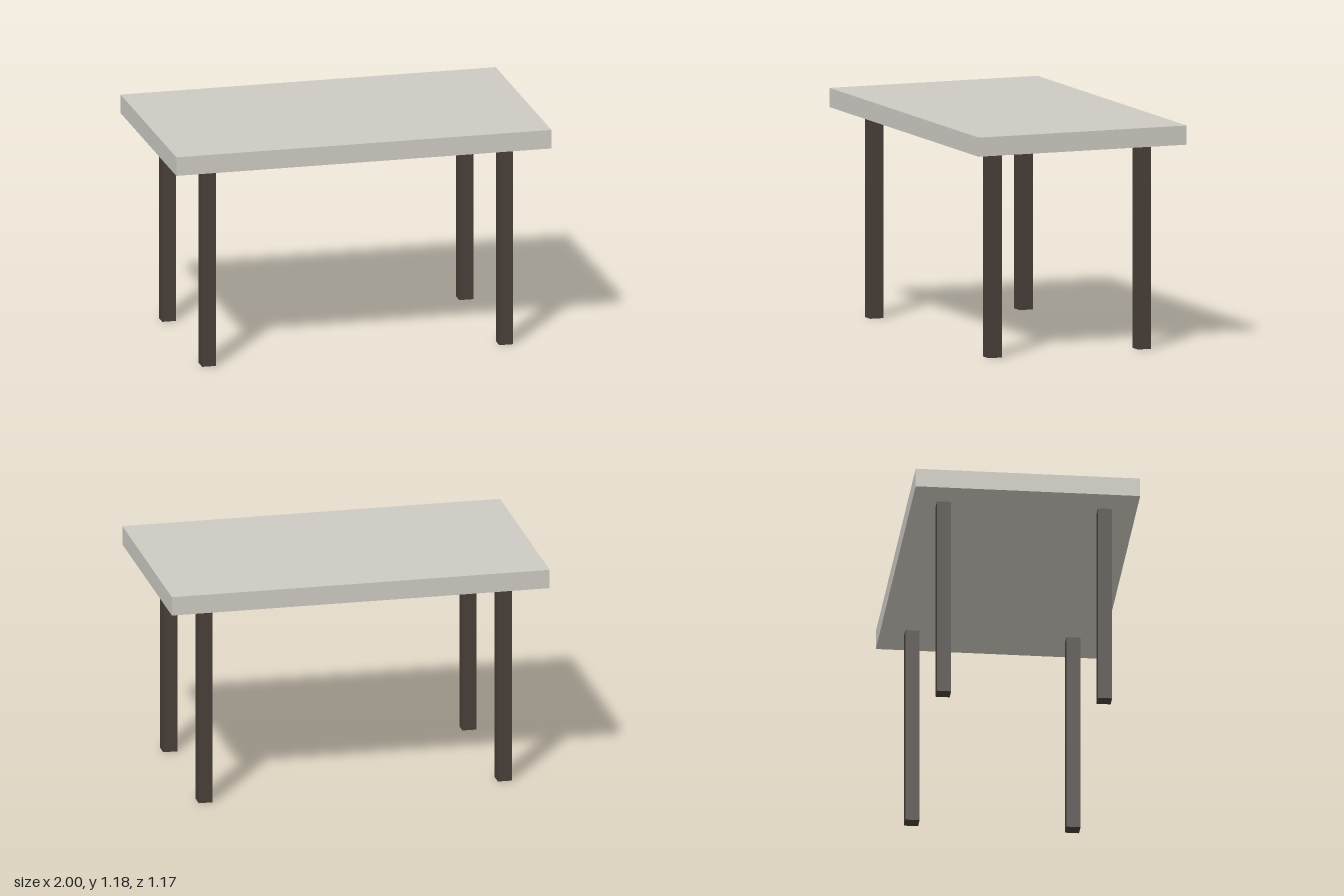
import * as THREE from 'three';

const TOP = { width: 2, thickness: 0.1, depth: 1.166 };
const LEG = { side: 0.074, height: 1.08, x: 0.792, z: 0.418 };

// Box whose underside rests at the given height
function box(name, size, [x, bottom, z], material) {
  const mesh = new THREE.Mesh(new THREE.BoxGeometry(...size), material);
  mesh.name = name;
  mesh.position.set(x, bottom + size[1] / 2, z);
  return mesh;
}

export function createModel() {
  const table = new THREE.Group();
  table.name = 'table';

  const paleTop = new THREE.MeshStandardMaterial({ color: 0xcdcac2 });
  const darkWood = new THREE.MeshStandardMaterial({ color: 0x483f38 });

  // Slab top
  table.add(box('tableTop', [TOP.width, TOP.thickness, TOP.depth], [0, LEG.height, 0], paleTop));

  // Four square legs, set in from the corners
  for (const [xName, sx] of [['Left', 1], ['Right', -1]]) {
    for (const [zName, sz] of [['front', 1], ['back', -1]]) {
      table.add(box(`${zName}${xName}Leg`, [LEG.side, LEG.height, LEG.side],
        [sx * LEG.x, 0, sz * LEG.z], darkWood));
    }
  }

  return table;
}
